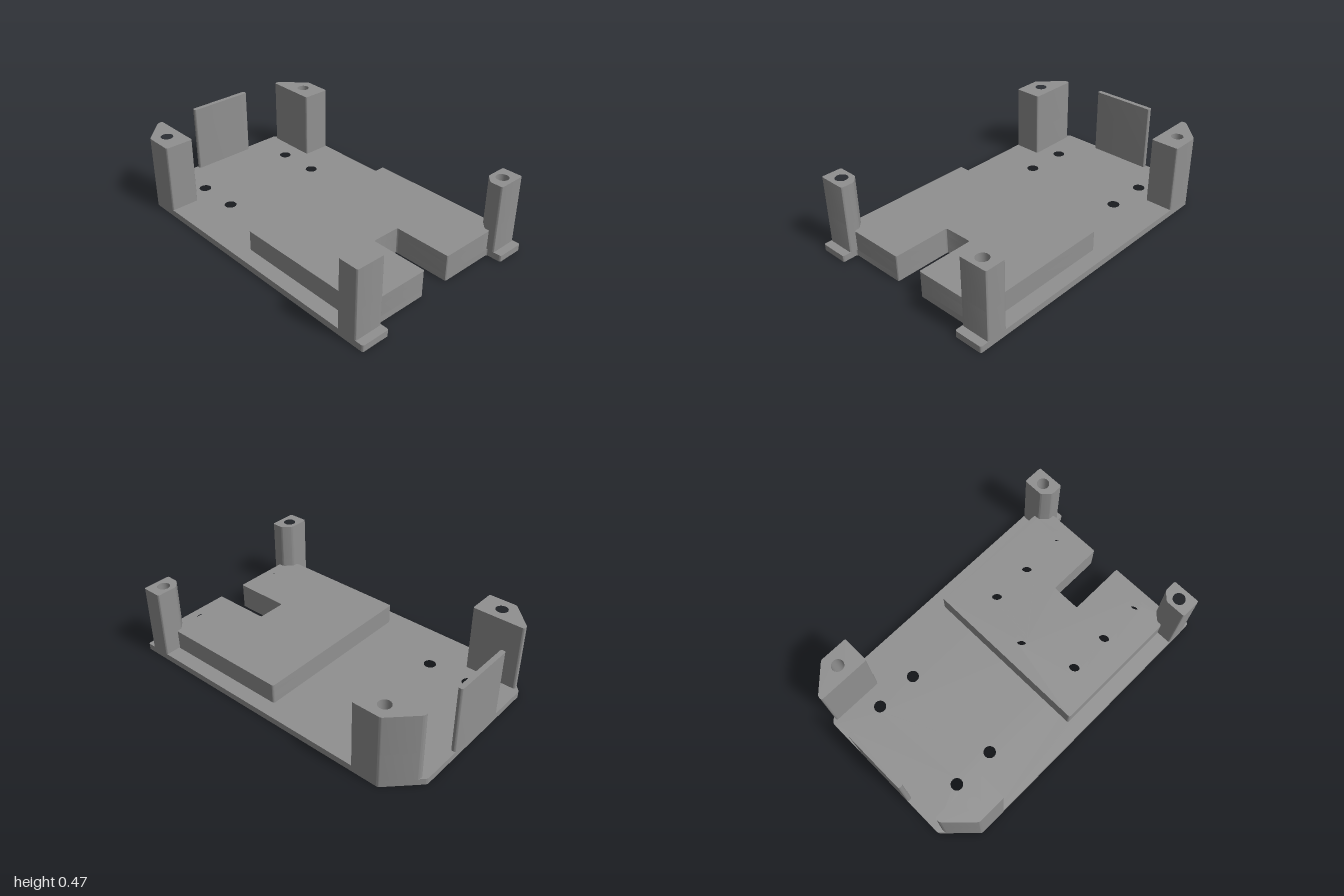
import * as THREE from 'three';
import { toCreasedNormals } from 'three/addons/utils/BufferGeometryUtils.js';

const grey = new THREE.MeshStandardMaterial({ color: 0x909090 });
grey.name = 'grey plastic';

// Closed outline in (x, z) with every corner slightly rounded
function outline(points, radius = 0.012) {
  const pts = points.map(([x, z]) => new THREE.Vector2(x, z));
  const shape = new THREE.Shape();
  pts.forEach((p, i) => {
    const prev = pts[(i + pts.length - 1) % pts.length];
    const next = pts[(i + 1) % pts.length];
    const towards = (q) => p.clone().lerp(q, Math.min(0.4, radius / p.distanceTo(q)));
    const a = towards(prev), b = towards(next);
    if (i === 0) shape.moveTo(a.x, a.y);
    else shape.lineTo(a.x, a.y);
    shape.quadraticCurveTo(p.x, p.y, b.x, b.y);
  });
  shape.closePath();
  return shape;
}

// Upright slab from y0 to y1; holes are [x, z, radius]
function slab(name, points, y0, y1, holes = []) {
  const shape = outline(points);
  for (const [x, z, r] of holes) {
    shape.holes.push(new THREE.Path().absarc(x, z, r, 0, Math.PI * 2, true));
  }
  const geo = new THREE.ExtrudeGeometry(shape, { depth: y1 - y0, bevelEnabled: false, curveSegments: 10 });
  geo.rotateX(Math.PI / 2);
  geo.translate(0, y1, 0);
  const mesh = new THREE.Mesh(toCreasedNormals(geo, 0.7), grey);
  mesh.name = name;
  return mesh;
}

// Half outline followed by its mirror image across z = 0
const symmetric = (half) => [...half, ...half.map(([x, z]) => [x, -z]).reverse()];

export function createModel() {
  const model = new THREE.Group();
  model.name = 'mountingTray';
  const plateTop = 0.04, blockTop = 0.165, top = 0.465, holeR = 0.037;

  // Screw holes
  const pairs = (xs, r) => xs.flatMap((x) => [[x, 0.335, r], [x, -0.335, r]]);
  const plain = [[0.15, 0, holeR], ...pairs([0.815], holeR)];
  const bored = pairs([0.27, 0.54], holeR);
  const counterbores = pairs([0.27, 0.54], 0.073);

  // Base plate with chamfered corners and a notch
  const plate = symmetric([
    [-1, 0.455], [-0.82, 0.635], [1, 0.635], [1, 0.455],
    [0.905, 0.455], [0.905, 0.093], [0.54, 0.093],
  ]);
  model.add(slab('basePlate', plate, 0, plateTop, [...plain, ...bored, ...pairs([-0.73, -0.46], holeR)]));

  // Raised block, its upper layer opened by the counterbores
  const block = symmetric([
    [0, 0.54], [0.82, 0.54], [0.82, 0.505], [0.87, 0.455],
    [0.905, 0.455], [0.905, 0.093], [0.54, 0.093],
  ]);
  const shelf = 0.115;
  model.add(slab('blockLower', block, plateTop, shelf, [...plain, ...bored]));
  model.add(slab('blockUpper', block, shelf, blockTop, [...plain, ...counterbores]));

  // Corner posts with blind screw holes
  const tower = [[-0.97, 0.455], [-0.97, 0.485], [-0.82, 0.635], [-0.64, 0.635], [-0.64, 0.455]];
  const post = [[0.82, 0.505], [0.82, 0.635], [0.95, 0.635], [0.95, 0.455], [0.87, 0.455]];
  const floor = 0.22;
  for (const [side, s] of [['Front', 1], ['Back', -1]]) {
    for (const [name, pts, x] of [['tower', tower, -0.775], ['post', post, 0.883]]) {
      const mirrored = pts.map(([px, pz]) => [px, pz * s]);
      model.add(slab(`${name}${side}Lower`, mirrored, plateTop, floor));
      model.add(slab(`${name}${side}Upper`, mirrored, floor, top, [[x, 0.545 * s, 0.038]]));
    }
  }

  // Thin end wall
  model.add(slab('endWall', symmetric([[-1, 0.207], [-0.97, 0.207]]), plateTop, top));
  return model;
}
